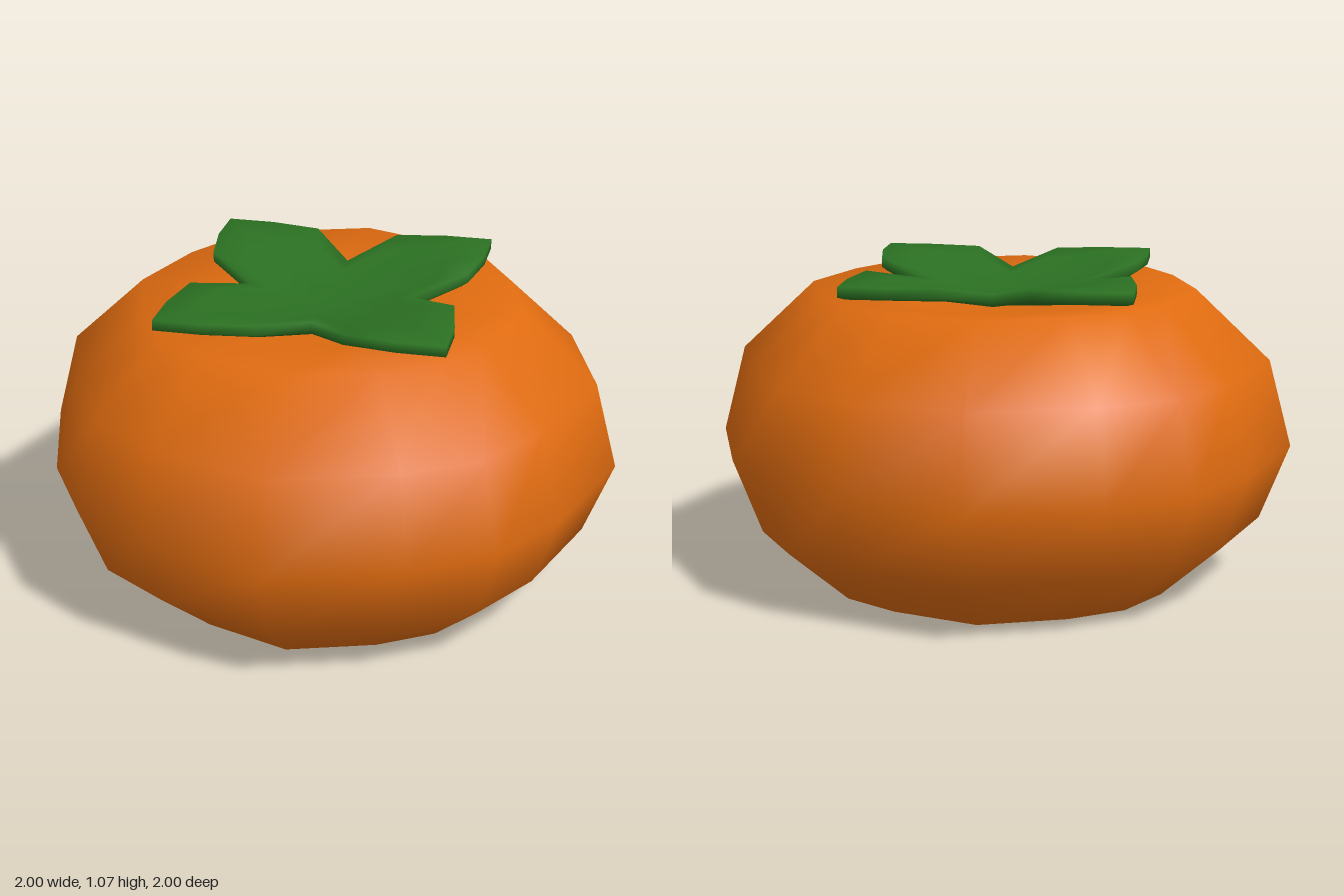
import * as THREE from 'three';
import { mergeVertices } from 'three/addons/utils/BufferGeometryUtils.js';

// Skins closed rings of [x, y, z] points, ordered from the lower pole to the upper pole.
function loft(rings) {
  const n = rings[0].length, index = [];
  for (let j = 0; j < rings.length - 1; j++) {
    for (let i = 0; i < n; i++) {
      const k = (i + 1) % n;
      const a = j * n + i, b = j * n + k, c = a + n, d = b + n;
      index.push(a, b, d, a, d, c);
    }
  }
  const geometry = new THREE.BufferGeometry();
  geometry.setAttribute('position', new THREE.Float32BufferAttribute(rings.flat(2), 3));
  geometry.setIndex(index);
  const merged = mergeVertices(geometry);
  merged.computeVertexNormals();
  return merged;
}

// Repeats a quarter of an outline, given as [x, depth], four times around the y axis.
function fourfold(quarter) {
  const points = [];
  for (let q = 0; q < 4; q++) {
    const c = Math.round(Math.cos(q * Math.PI / 2)), s = Math.round(Math.sin(q * Math.PI / 2));
    for (const [x, d] of quarter) points.push([x * c - d * s, x * s + d * c]);
  }
  return points;
}

function createFruit() {
  // Slightly squarish sixteen-sided outline, scaled along the profile
  const outline = fourfold([[1, 0], [0.86, 0.43], [0.695, 0.695], [0.43, 0.86]]);
  const profile = [
    [0, 0.02], [0.35, 0.01], [0.67, 0], [0.9, 0.2], [1, 0.46],
    [0.92, 0.76], [0.665, 1], [0.34, 0.96], [0, 0.94],
  ];
  const rings = profile.map(([r, y]) => outline.map(([x, d]) => [x * r, y, -d * r]));
  const material = new THREE.MeshStandardMaterial({ color: 0xdf6b10 });
  const mesh = new THREE.Mesh(loft(rings), material);
  mesh.name = 'fruit';
  return mesh;
}

function createCalyx() {
  // Four broad leaves meeting in a shallow bowl
  const outline = fourfold([[0.28, 0], [0.45, 0.145], [0.48, 0.32], [0.48, 0.48], [0.32, 0.48], [0.145, 0.45]]);
  const height = (x, d) => 0.985 + 0.08 * Math.min(1, (Math.hypot(x, d) / 0.46) ** 1.7);
  const ring = (scale, drop) => outline.map(([x, d]) =>
    [x * scale, height(x * scale, d * scale) - drop, -d * scale]);
  const rings = [
    ring(0, 0.04), ring(0.5, 0.04), ring(0.95, 0.045), ring(1, 0.035),
    ring(1, 0), ring(0.75, 0), ring(0.45, 0), ring(0, 0),
  ];
  const material = new THREE.MeshStandardMaterial({ color: 0x2b7022 });
  const mesh = new THREE.Mesh(loft(rings), material);
  mesh.name = 'leafCalyx';
  return mesh;
}

export function createModel() {
  const group = new THREE.Group();
  group.name = 'persimmon';
  group.add(createFruit(), createCalyx());
  return group;
}
